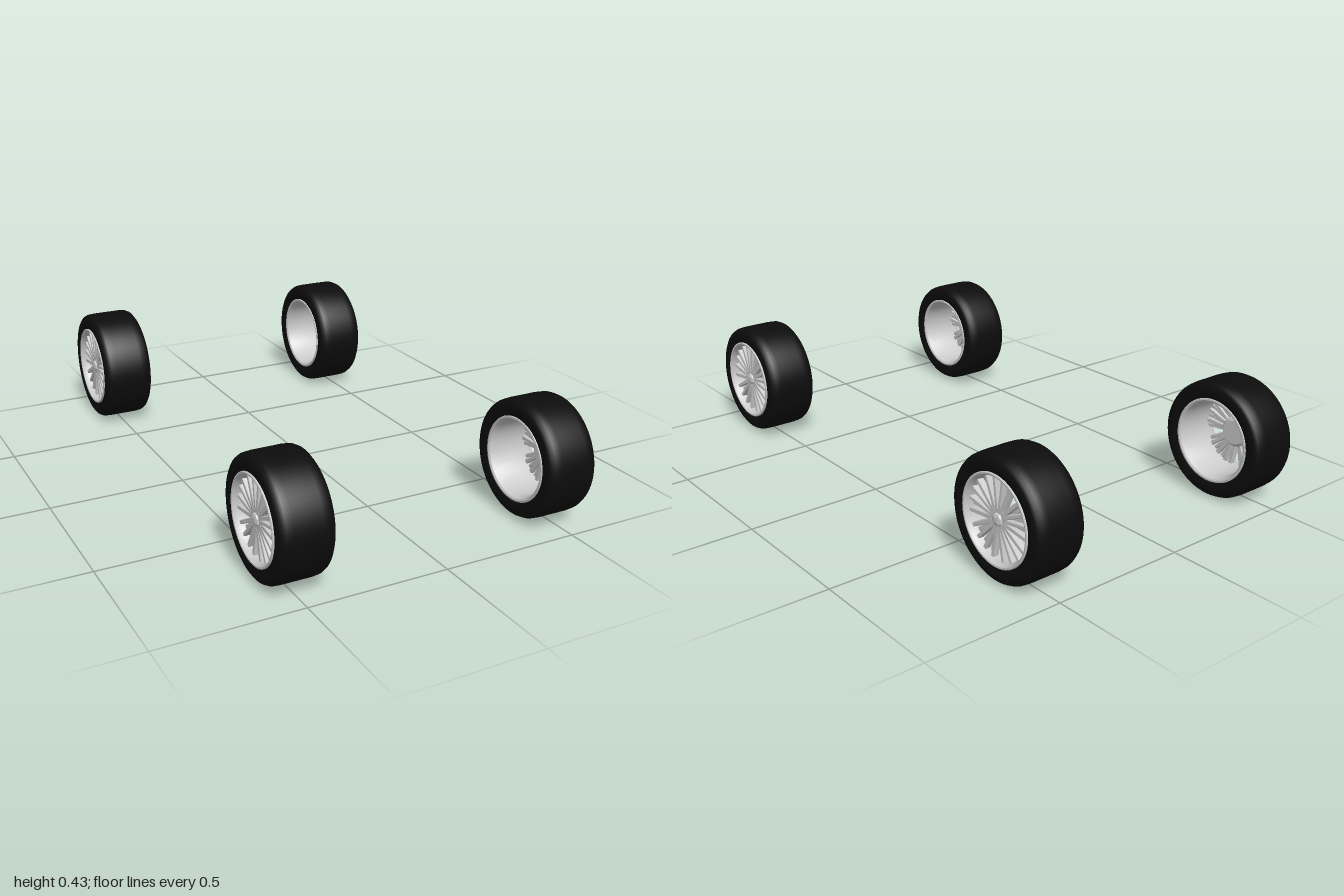
import * as THREE from 'three';
import { toCreasedNormals } from 'three/addons/utils/BufferGeometryUtils.js';

const rubber = new THREE.MeshStandardMaterial({ color: 0x0c0c0c });
const metal = new THREE.MeshStandardMaterial({ color: 0xcccccc });

// Closed ring from (radius, height) points, turned so its axis is z
function ring(points, segments = 72, crease = 0.6) {
  const profile = points.map(([r, h]) => new THREE.Vector2(r, h));
  const geo = new THREE.LatheGeometry(profile, segments).rotateX(Math.PI / 2);
  return toCreasedNormals(geo, crease);
}

// Tapered bar lying along a line between two polar points (degrees)
function bar(r0, a0, w0, r1, a1, w1, z, depth) {
  const polar = (r, a) => new THREE.Vector2(r, 0).rotateAround(new THREE.Vector2(), a * Math.PI / 180);
  const p = polar(r0, a0), q = polar(r1, a1);
  const n = q.clone().sub(p).normalize().rotateAround(new THREE.Vector2(), Math.PI / 2);
  const at = (c, w) => c.clone().addScaledVector(n, w / 2);
  const shape = new THREE.Shape([at(p, -w0), at(q, -w1), at(q, w1), at(p, w0)]);
  const bevel = 0.002;
  return new THREE.ExtrudeGeometry(shape, {
    depth: depth - bevel * 2, bevelEnabled: true, bevelSize: bevel, bevelThickness: bevel, bevelSegments: 1,
  }).translate(0, 0, z - depth + bevel);
}

// One wheel with its outer face towards +z
function createWheel() {
  const wheel = new THREE.Group();
  const add = (name, geo, material = metal) => {
    const mesh = new THREE.Mesh(geo, material);
    mesh.name = name;
    wheel.add(mesh);
    return mesh;
  };

  // Tyre with rounded shoulders
  add('tyre', ring([
    [0.150, -0.086], [0.165, -0.093], [0.182, -0.095], [0.197, -0.093], [0.207, -0.086], [0.213, -0.074],
    [0.215, -0.05], [0.215, 0.05], [0.213, 0.074], [0.207, 0.086], [0.197, 0.093], [0.182, 0.095],
    [0.165, 0.093], [0.150, 0.086], [0.146, 0.06], [0.146, -0.06], [0.150, -0.086],
  ]), rubber);

  // Open barrel with a rolled lip at each end
  add('rimBarrel', ring([
    [0.139, -0.078], [0.142, -0.088], [0.148, -0.092], [0.154, -0.091], [0.156, -0.086], [0.148, -0.08],
    [0.148, 0.08], [0.156, 0.086], [0.156, 0.093], [0.153, 0.095], [0.148, 0.094], [0.143, 0.087],
    [0.139, 0.076], [0.136, 0.05], [0.136, -0.07], [0.139, -0.078],
  ]));

  // Hub: recessed plate, raised boss and domed cap
  add('hubPlate', ring([
    [0, 0.03], [0.045, 0.03], [0.055, 0.04], [0.052, 0.058], [0.04, 0.067], [0, 0.067],
  ], 40));
  add('hubCap', ring([
    [0.023, 0.06], [0.023, 0.077], [0.02, 0.083], [0.012, 0.087], [0, 0.088],
  ], 32));

  // Five sectors of spokes, with a wide window between sectors
  const nut = new THREE.CylinderGeometry(0.005, 0.006, 0.014, 6).rotateX(Math.PI / 2);
  for (let i = 0; i < 5; i++) {
    const mid = 90 + i * 72;
    for (const side of [-1, 1]) {
      add('innerSpoke', bar(0.022, mid + side * 10, 0.010, 0.139, mid + side * 8.5, 0.009, 0.078, 0.022));
      add('outerSpoke', bar(0.024, mid + side * 28, 0.013, 0.139, mid + side * 25.5, 0.010, 0.078, 0.022));
      add('backSpoke', bar(0.045, mid + side * 17, 0.008, 0.139, mid + side * 17, 0.012, 0.063, 0.014));
    }
    add('backSpoke', bar(0.045, mid, 0.008, 0.139, mid, 0.012, 0.063, 0.014));
    const a = (mid + 36) * Math.PI / 180;
    add('wheelNut', nut).position.set(Math.cos(a) * 0.036, Math.sin(a) * 0.036, 0.072);
  }
  return wheel;
}

export function createModel() {
  const model = new THREE.Group();
  model.name = 'wheelSet';
  // Front wheels are slightly smaller than the rear ones
  const axles = [['front', 0.79, 0.21 / 0.215], ['rear', -0.785, 1]];
  for (const [axle, z, size] of axles) {
    for (const side of [-1, 1]) {
      const wheel = createWheel();
      wheel.name = axle + (side > 0 ? 'Left' : 'Right') + 'Wheel';
      wheel.position.set(side * 0.49, 0.215, z);
      wheel.rotation.y = side * Math.PI / 2;
      wheel.scale.set(size, size, 1);
      model.add(wheel);
    }
  }
  return model;
}
